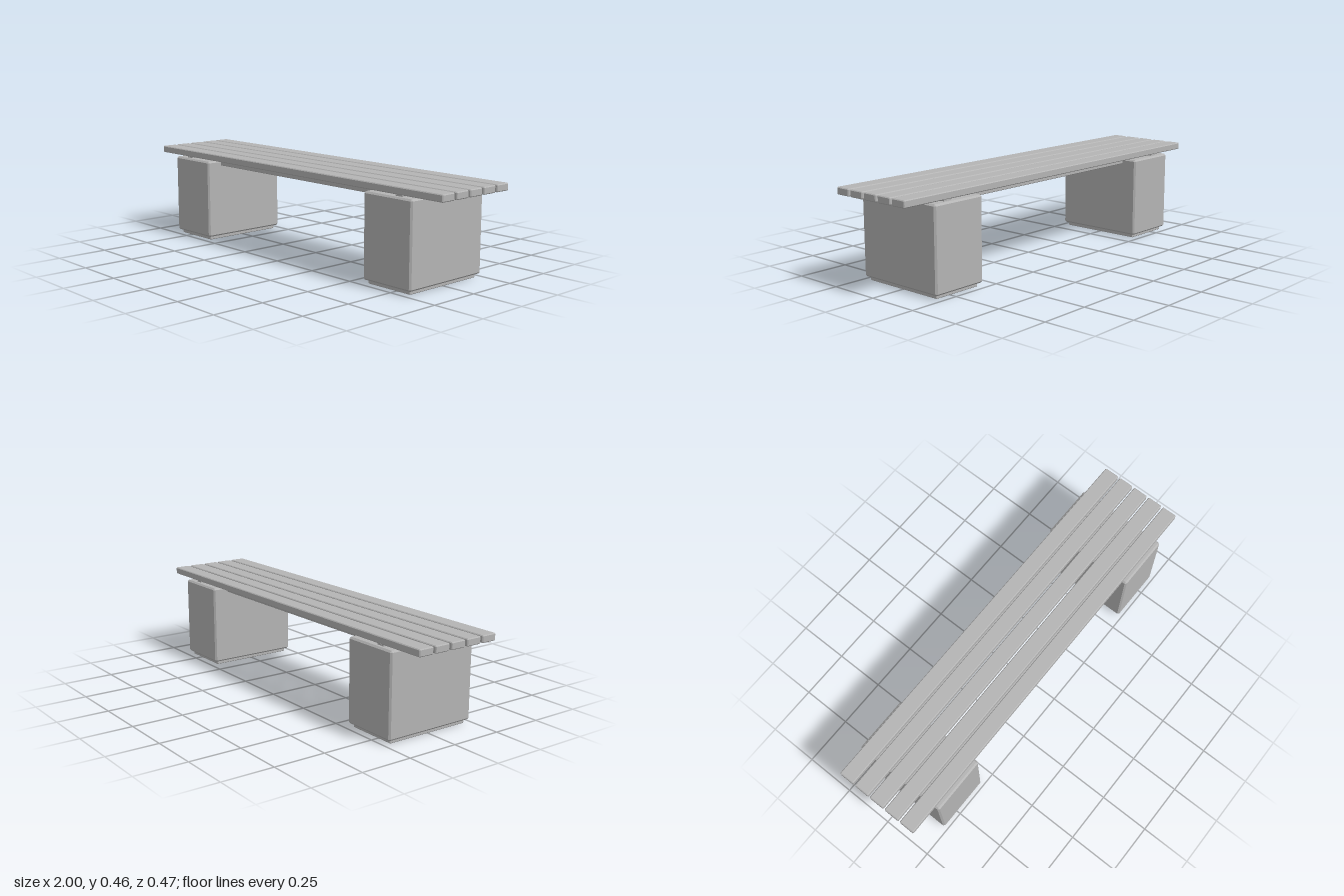
import * as THREE from 'three';
import { ConvexGeometry } from 'three/addons/geometries/ConvexGeometry.js';

// Box with every edge cut by a flat chamfer c
function chamferBox(w, h, d, c) {
  const points = [];
  const [x, y, z] = [w / 2, h / 2, d / 2];
  for (const i of [-1, 1]) for (const j of [-1, 1]) for (const k of [-1, 1]) {
    points.push(
      new THREE.Vector3(i * x, j * (y - c), k * (z - c)),
      new THREE.Vector3(i * (x - c), j * y, k * (z - c)),
      new THREE.Vector3(i * (x - c), j * (y - c), k * z)
    );
  }
  return new ConvexGeometry(points);
}

export function createModel() {
  const bench = new THREE.Group();
  bench.name = 'bench';
  const grey = new THREE.MeshStandardMaterial({ color: 0xb4b4b4 });
  grey.name = 'grey';

  const add = (name, geometry, x, y, z) => {
    const mesh = new THREE.Mesh(geometry, grey);
    mesh.name = name;
    mesh.position.set(x, y, z);
    bench.add(mesh);
  };

  // Five seat slats
  const slat = chamferBox(2, 0.034, 0.077, 0.004);
  for (let i = -2; i <= 2; i++) add('seatSlat', slat, 0, 0.438, i * 0.0883);

  // Block legs, each on a recessed foot, with a cross bar under the slats
  const block = chamferBox(0.284, 0.397, 0.468, 0.008);
  const foot = chamferBox(0.25, 0.02, 0.43, 0.003);
  const bar = new THREE.BoxGeometry(0.04, 0.008, 0.425);
  for (const [side, s] of [['left', 1], ['right', -1]]) {
    add(side + 'Block', block, s * 0.707, 0.2165, 0);
    add(side + 'Foot', foot, s * 0.707, 0.01, 0);
    add(side + 'CrossBar', bar, s * 0.755, 0.418, 0);
  }

  // Two long rails joining the blocks
  const rail = chamferBox(1.48, 0.027, 0.035, 0.003);
  for (const s of [-1, 1]) add(s > 0 ? 'frontRail' : 'backRail', rail, 0, 0.4025, s * 0.1355);

  return bench;
}
